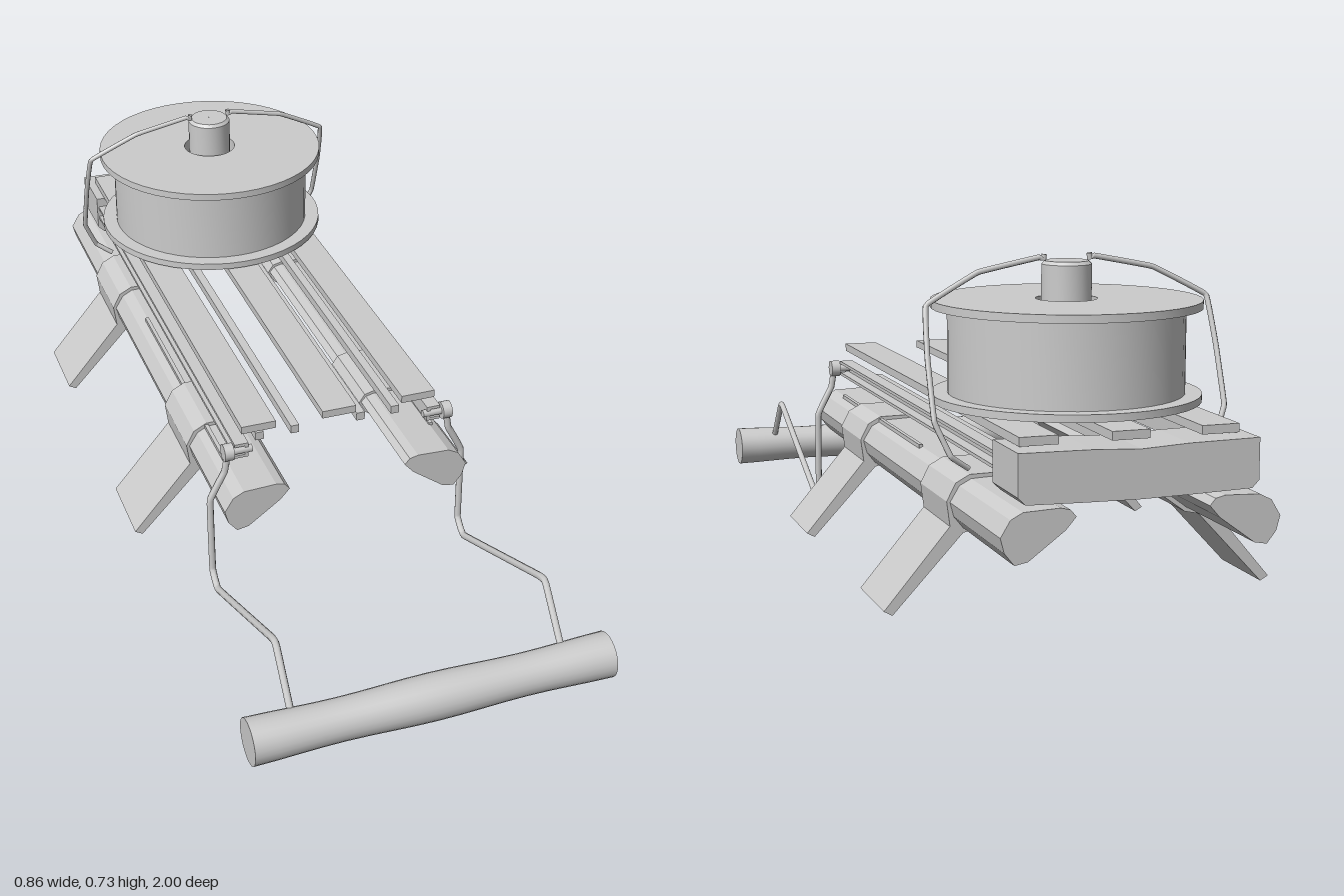
import * as THREE from 'three';
import { toCreasedNormals } from 'three/addons/utils/BufferGeometryUtils.js';

const mat = new THREE.MeshStandardMaterial({ color: 0xcccccc, side: THREE.DoubleSide });

export function createModel() {
  const model = new THREE.Group();

  const add = (name, geometry, x = 0, y = 0, z = 0) => {
    const mesh = new THREE.Mesh(geometry, mat);
    mesh.name = name;
    mesh.position.set(x, y, z);
    model.add(mesh);
    return mesh;
  };
  // Box given by its limits on each axis
  const box = (name, x0, x1, y0, y1, z0, z1) =>
    add(name, new THREE.BoxGeometry(Math.abs(x1 - x0), y1 - y0, z1 - z0),
      (x0 + x1) / 2, (y0 + y1) / 2, (z0 + z1) / 2);
  // Front-plane outline drawn out along z, mirrored by s
  const extrude = (name, pts, s, z0, z1) => {
    const shape = new THREE.Shape(pts.map(([x, y]) => new THREE.Vector2(x * s, y)));
    const geo = new THREE.ExtrudeGeometry(shape, { depth: z1 - z0, bevelEnabled: false });
    return add(name, geo, 0, 0, z0);
  };
  // Bent wire through points, mirrored by s
  const wire = (name, pts, s, r) => {
    const curve = new THREE.CatmullRomCurve3(
      pts.map(([x, y, z]) => new THREE.Vector3(x * s, y, z)), false, 'catmullrom', 0.08);
    return add(name, new THREE.TubeGeometry(curve, 100, r, 8), 0, 0, 0);
  };

  // Spool: flanged drum with a recessed centre, then its hub
  const drum = [[0.001, 0.425], [0.285, 0.425], [0.285, 0.441], [0.25, 0.441], [0.25, 0.62],
    [0.285, 0.62], [0.285, 0.637], [0.065, 0.637], [0.065, 0.6], [0.001, 0.6]]
    .map(([x, y]) => new THREE.Vector2(x, y));
  add('spool', toCreasedNormals(new THREE.LatheGeometry(drum, 48), 0.6), 0, 0, -0.585);
  const hub = [[0.053, 0.59], [0.053, 0.709], [0.046, 0.716], [0.001, 0.716]]
    .map(([x, y]) => new THREE.Vector2(x, y));
  add('spoolHub', toCreasedNormals(new THREE.LatheGeometry(hub, 24), 0.6), 0, 0, -0.585);

  // Deck slats
  for (const x of [-0.19, 0, 0.19]) box('deckSlat', x - 0.04, x + 0.04, 0.402, 0.42, -0.935, 0.38);

  // Rear cross block, with chamfered lower corners
  extrude('rearBlock', [[-0.25, 0.315], [-0.235, 0.3], [-0.12, 0.297], [0, 0.295], [0.12, 0.297],
    [0.235, 0.3], [0.25, 0.315], [0.25, 0.4], [0.1, 0.398], [0, 0.393], [-0.1, 0.398], [-0.25, 0.4]],
  1, -0.985, -0.84);

  for (const s of [1, -1]) {
    // Slanted runner
    extrude('runner', [[0.138, 0.275], [0.15, 0.289], [0.17, 0.294], [0.245, 0.291],
      [0.27, 0.278], [0.29, 0.245], [0.282, 0.215], [0.262, 0.19], [0.235, 0.195], [0.16, 0.25]],
    s, -1, 0.44);
    box('runnerRidge', s * 0.243, s * 0.252, 0.28, 0.296, -0.35, 0.33);

    // Legs that fold over the runner
    for (const z of [-0.6, 0.075])
      extrude('leg', [[0.43, 0.03], [0.412, 0.02], [0.262, 0.18], [0.23, 0.187], [0.15, 0.245],
        [0.133, 0.274], [0.147, 0.295], [0.17, 0.301], [0.248, 0.3], [0.278, 0.284],
        [0.297, 0.247], [0.29, 0.195]], s, z - 0.092, z + 0.092);

    // Outer channel rail with a hollow front
    const x = 0.23 * s;
    for (const [y0, y1] of [[0.34, 0.347], [0.369, 0.376]])
      box('outerRail', x - 0.016, x + 0.016, y0, y1, -0.85, 0.38);
    box('outerRailWeb', x - 0.016 * s, x - 0.008 * s, 0.34, 0.376, -0.85, 0.38);
    box('innerRail', s * 0.07, s * 0.09, 0.328, 0.348, -0.85, 0.31);
    box('middleRail', s * 0.155, s * 0.175, 0.328, 0.348, -0.85, 0.31);

    // Pivot pin for the pull wire
    const pin = add('pivotPin', new THREE.CylinderGeometry(0.02, 0.02, 0.022, 16), s * 0.261, 0.358, 0.375);
    pin.rotation.z = Math.PI / 2;
    const axle = add('pivotAxle', new THREE.CylinderGeometry(0.009, 0.009, 0.06, 10), s * 0.235, 0.358, 0.375);
    axle.rotation.z = Math.PI / 2;

    // Pull wire down to the handle
    wire('pullWire', [[0.262, 0.358, 0.378], [0.27, 0.31, 0.378], [0.305, 0.24, 0.378],
      [0.305, 0.05, 0.385], [0.305, 0.022, 0.425], [0.305, 0.185, 0.8],
      [0.305, 0.19, 0.83], [0.305, 0.07, 0.935]], s, 0.008);

    // Retaining wire over the spool
    wire('retainingWire', [[0.05, 0.73, -0.585], [0.052, 0.716, -0.585], [0.06, 0.724, -0.585],
      [0.195, 0.697, -0.585], [0.312, 0.635, -0.603], [0.32, 0.53, -0.64], [0.32, 0.41, -0.685],
      [0.29, 0.34, -0.7], [0.25, 0.312, -0.69]], s, 0.006);
  }

  // Gently uneven handle bar
  const bar = new THREE.CylinderGeometry(0.05, 0.05, 0.81, 24, 16);
  bar.rotateZ(Math.PI / 2);
  const p = bar.attributes.position;
  for (let i = 0; i < p.count; i++) {
    const k = 0.96 + 0.05 * Math.cos(p.getX(i) * 15);
    p.setXYZ(i, p.getX(i), p.getY(i) * k, p.getZ(i) * k);
  }
  add('handleBar', toCreasedNormals(bar, 0.7), 0, 0.055, 0.945);

  return model;
}
